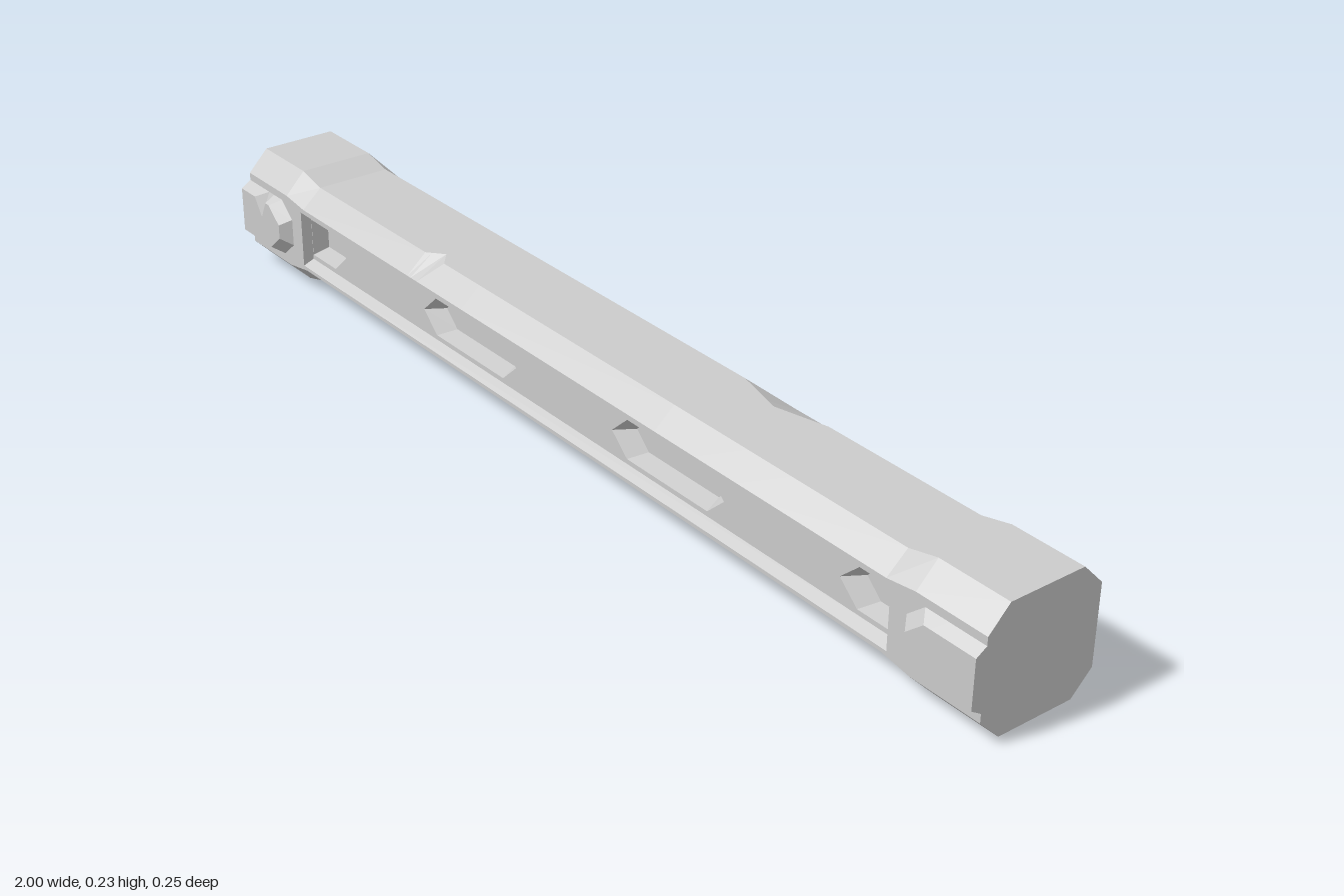
import * as THREE from 'three';

const material = new THREE.MeshStandardMaterial({ color: 0xcccccc, flatShading: true });
const CENTER_Z = -0.01, FACE = 0.113;

function mesh(name, geometry) {
  const m = new THREE.Mesh(geometry, material);
  m.name = name;
  return m;
}

// Geometry from convex polygons with counter-clockwise corners
function fromPolygons(polygons) {
  const pos = [];
  for (const p of polygons)
    for (let i = 1; i < p.length - 1; i++) pos.push(...p[0], ...p[i], ...p[i + 1]);
  const g = new THREE.BufferGeometry();
  g.setAttribute('position', new THREE.Float32BufferAttribute(pos, 3));
  g.computeVertexNormals();
  return g;
}

// Walls between two outlines at different depths
function wall(name, a, za, b, zb) {
  return mesh(name, fromPolygons(a.map((p, i) => {
    const j = (i + 1) % a.length;
    return [[...p, za], [...a[j], za], [...b[j], zb], [...b[i], zb]];
  })));
}

// Flat panel facing +z, optionally with holes
function panel(name, outline, z, holes = []) {
  const vec = (pts) => pts.map((p) => new THREE.Vector2(...p));
  const shape = new THREE.Shape(vec(outline));
  shape.holes = holes.map((h) => new THREE.Path(vec(h)));
  return mesh(name, new THREE.ShapeGeometry(shape).translate(0, 0, z));
}

const rect = (x, y0, y1) => [[-x, y0], [x, y0], [x, y1], [-x, y1]];
const mirror = (pts) => pts.map(([x, y]) => [-x, y]).reverse();

// Chips worn into the long edges: edge index, place, half length, inward shift
const chips = [
  { edge: 1, x: -0.41, half: 0.03, dz: -0.025 },
  { edge: 2, x: 0.37, half: 0.1, dz: 0.025 },
  { edge: 5, x: -0.35, half: 0.08, dz: 0.022 },
  { edge: 6, x: 0.45, half: 0.1, dz: -0.02 },
];

// Eight-sided cross-section, slimmer between the end caps
function section(x) {
  const t = THREE.MathUtils.clamp((0.86 - Math.abs(x)) / 0.06, 0, 1);
  const top = 0.226 - 0.014 * t, shoulder = 0.185 - 0.008 * t;
  const bottom = 0.016 * t, hip = 0.04 + 0.01 * t;
  const pts = [
    [x, shoulder, 0.103], [x, top, 0.063], [x, top, -0.083], [x, shoulder, -0.123],
    [x, hip, -0.123], [x, bottom, -0.083], [x, bottom, 0.063], [x, hip, 0.103],
  ];
  for (const c of chips)
    pts[c.edge][2] += c.dz * Math.max(0, 1 - Math.abs(x - c.x) / c.half);
  return pts;
}

function buildShell() {
  const xs = [-1, -0.86, -0.8, 0.8, 0.86, 1];
  for (const c of chips) xs.push(c.x - c.half, c.x, c.x + c.half);
  xs.sort((a, b) => a - b);
  const rows = xs.map(section);
  const polys = [rows[0], [...rows[rows.length - 1]].reverse()];
  for (let k = 0; k < rows.length - 1; k++)
    for (const i of [0, 1, 2, 4, 5, 6])
      polys.push([rows[k][i], rows[k + 1][i], rows[k + 1][i + 1], rows[k][i + 1]]);
  return mesh('shell', fromPolygons(polys));
}

// Long face with a shallow channel and deeper pointed pockets
function buildSide(name) {
  const g = new THREE.Group();
  g.name = name;
  const xs = [-1, -0.86, -0.8, 0.8, 0.86, 1];
  const outline = [
    ...xs.map((x) => [x, section(x)[7][1]]),
    ...xs.map((x) => [x, section(x)[0][1]]).reverse(),
  ];
  const opening = rect(0.81, 0.057, 0.168), inner = rect(0.807, 0.067, 0.158);
  const floorZ = FACE - 0.02, pocketZ = FACE - 0.055;
  g.add(panel('sideFrame', outline, FACE, [opening]));
  g.add(wall('channelWall', opening, FACE, inner, floorZ));

  // Pocket outline, inset towards its floor
  const hex = (x0, x1, d) => [
    [x0 + 0.04 + d * 0.6, 0.076 + d * 0.3], [x1 - 0.04 - d * 0.6, 0.076 + d * 0.3], [x1 - d, 0.1125],
    [x1 - 0.04 - d * 0.6, 0.149 - d * 0.3], [x0 + 0.04 + d * 0.6, 0.149 - d * 0.3], [x0 + d, 0.1125],
  ];
  const half = (d) => [
    [-0.806, 0.076 + d * 0.3], [-0.725 - d * 0.6, 0.076 + d * 0.3], [-0.685 - d, 0.1125],
    [-0.725 - d * 0.6, 0.149 - d * 0.3], [-0.806, 0.149 - d * 0.3],
  ];
  const pockets = [
    [half(0), half(0.022)],
    [hex(-0.42, -0.135, 0), hex(-0.42, -0.135, 0.022)],
  ];
  pockets.push(...pockets.map((p) => p.map(mirror)));
  g.add(panel('channelFloor', inner, floorZ, pockets.map((p) => p[0])));
  for (const [rim, floor] of pockets) {
    g.add(wall('pocketWall', rim, floorZ, floor, pocketZ));
    g.add(panel('pocketFloor', floor, pocketZ));
  }
  g.position.z = CENTER_Z;
  return g;
}

// Raised plate on an end cap; a cut can be worn into its upper edge
function buildEndPlate(name, left, cut) {
  const outline = (d, depth) => {
    const x = 0.845 + d, y0 = 0.057 + d * 0.7, y1 = 0.17 - d * 0.7;
    return [
      [x + 0.035, y0], [1, y0], [1, y1], [0.95, y1], [0.927, y1 - depth], [0.91, y1],
      [x + 0.035, y1], [x, y1 - 0.03], [x, y0 + 0.03],
    ];
  };
  let base = outline(0, 0), face = outline(0.018, cut);
  if (!left) [base, face] = [mirror(base), mirror(face)];
  const g = new THREE.Group();
  g.name = name;
  g.add(wall('plateBevel', base, 0.103, face, 0.123), panel('plateFace', face, 0.123));
  return g;
}

export function createModel() {
  const model = new THREE.Group();
  model.name = 'beam';
  const back = buildSide('backSide');
  back.rotation.y = Math.PI;
  model.add(buildShell(), buildSide('frontSide'), back);
  model.add(buildEndPlate('leftEndPlate', true, 0), buildEndPlate('rightEndPlate', false, 0.035));
  return model;
}
